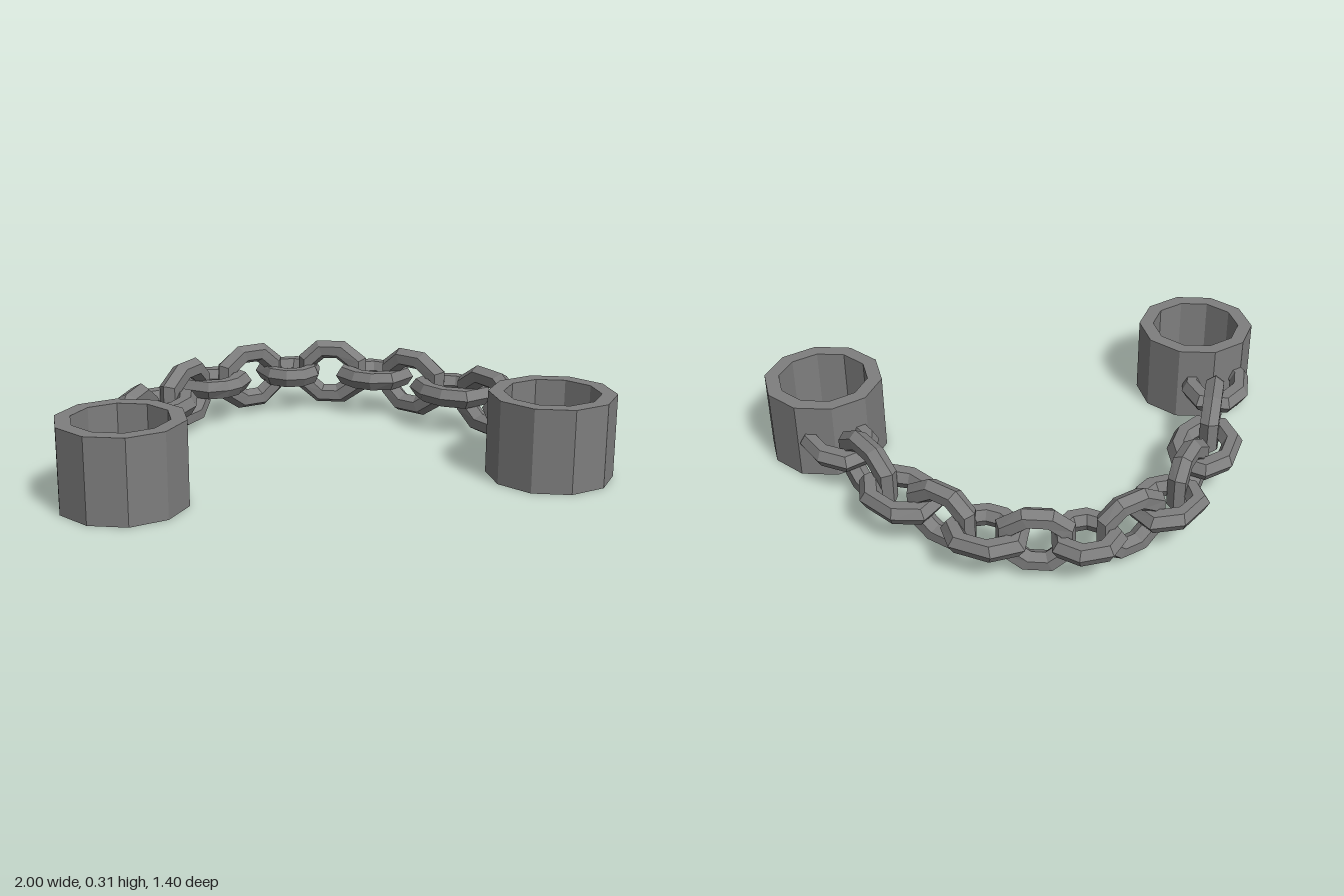
import * as THREE from 'three';

const MID_Y = 0.156;     // height of the chain's centre line
const LINK_HALF = 0.133; // half the width of a link
const END_SPREAD = 1.22; // widens the link ends, leaving shorter chamfers

// Link centres in plan (x, z), with one extra point beyond each end
const CENTRES = [
  [-0.87, 0.43], [-0.793, 0.243], [-0.70, 0.035], [-0.596, -0.166], [-0.455, -0.33],
  [-0.352, -0.45], [-0.168, -0.54], [0, -0.567], [0.168, -0.54], [0.344, -0.447],
  [0.46, -0.315], [0.591, -0.156], [0.68, 0.035], [0.76, 0.243], [0.83, 0.43],
];

export function createModel() {
  const model = new THREE.Group();
  model.name = 'shackles';
  const metal = new THREE.MeshStandardMaterial({ color: 0x7e7e7e, flatShading: true });

  const add = (geometry, name) => {
    const mesh = new THREE.Mesh(geometry, metal);
    mesh.name = name;
    model.add(mesh);
    return mesh;
  };

  // Ten-sided cuffs, open at top and bottom
  const [outer, inner, height] = [0.233, 0.176, 0.312];
  const profile = [[outer, 0], [outer, height], [inner, height], [inner, 0], [outer, 0]]
    .map(([r, y]) => new THREE.Vector2(r, y));
  for (const side of [-1, 1]) {
    const cuff = add(new THREE.LatheGeometry(profile, 10), side > 0 ? 'leftCuff' : 'rightCuff');
    cuff.position.set(0.778 * side, 0, 0.466);
  }

  // Chain path
  const path = new THREE.CatmullRomCurve3(
    CENTRES.map(([x, z]) => new THREE.Vector3(x, MID_Y, z)), false, 'catmullrom', 0.5);
  const spans = CENTRES.length - 1;
  const up = new THREE.Vector3(0, 1, 0);

  // Eight-sided link with a hexagonal bar, bent and stretched along the path
  const makeLink = (index, upright) => {
    const geometry = new THREE.TorusGeometry(0.103, 0.041, 6, 8);
    geometry.rotateZ(Math.PI / 8);
    const pos = geometry.attributes.position;
    // Half length in link spacings, shortest at the middle of the chain
    const reach = Math.min(0.8, 0.74 + 0.03 * Math.abs(index - spans / 2));
    for (let i = 0; i < pos.count; i++) {
      const [x, y, z] = [pos.getX(i), pos.getY(i), pos.getZ(i)];
      const wide = Math.abs(y) < Math.abs(x) ? y * END_SPREAD : y;
      const t = (index + (x / LINK_HALF) * reach) / spans;
      const across = new THREE.Vector3().crossVectors(up, path.getTangent(t));
      const p = path.getPoint(t)
        .addScaledVector(across, upright ? -z : wide)
        .addScaledVector(up, upright ? wide : z);
      pos.setXYZ(i, p.x, p.y, p.z);
    }
    geometry.computeVertexNormals();
    return geometry;
  };

  // Flat and upright links alternate
  for (let i = 1; i < spans; i++) {
    const upright = i % 2 === 0;
    add(makeLink(i, upright), (upright ? 'uprightLink' : 'flatLink') + i);
  }
  return model;
}
